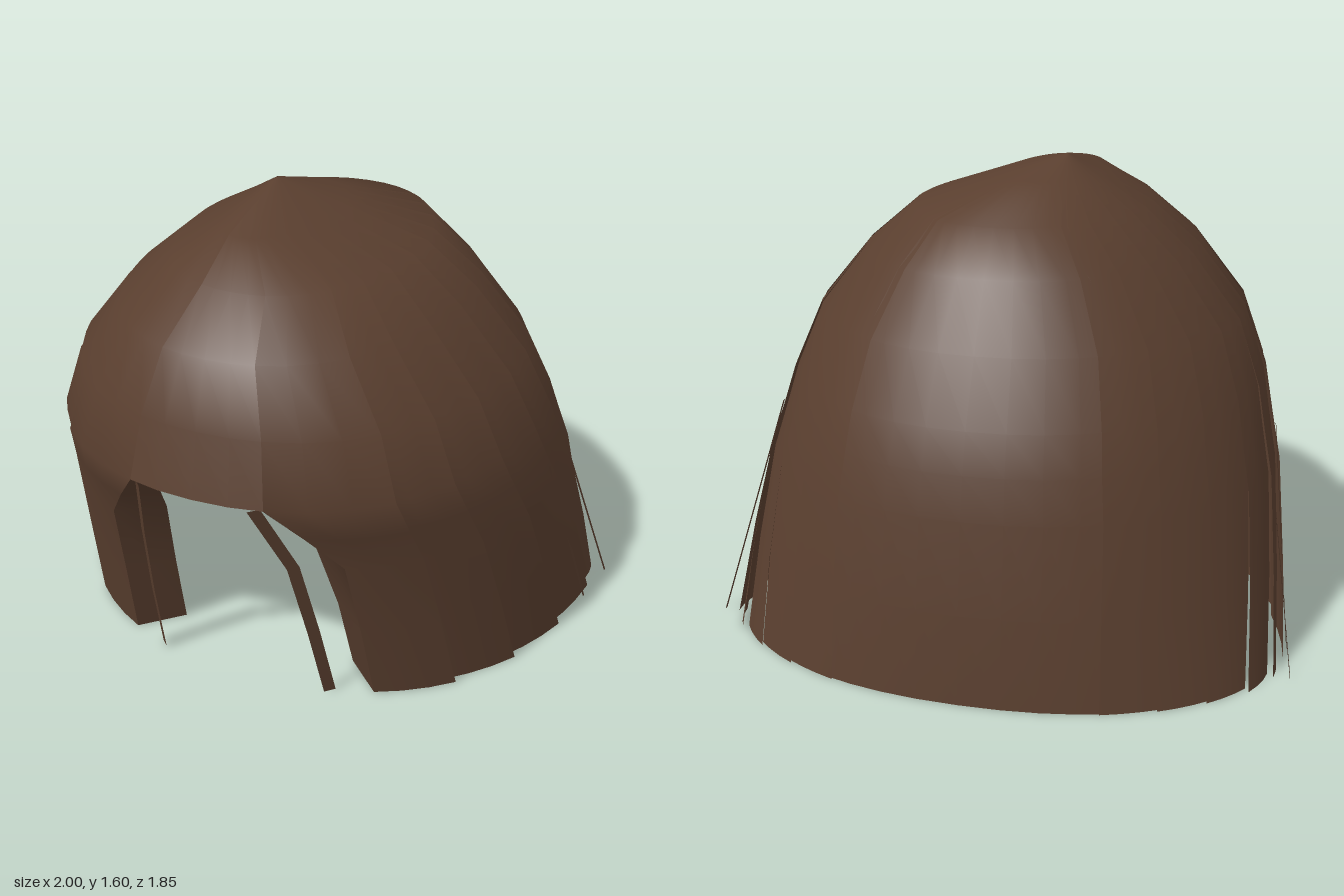
import * as THREE from 'three';

// Horizontal sections, crown to hem: y, half width, front z, back z, z of widest point, x shift
const RINGS = [
  [1.595, 0.002, 0.042, 0.038, 0.04, -0.12],
  [1.53, 0.17, 0.44, -0.17, 0.04, -0.06],
  [1.435, 0.4, 0.63, -0.47, 0.04, 0],
  [1.29, 0.57, 0.81, -0.57, 0.03, 0],
  [1.08, 0.74, 0.88, -0.69, 0.02, 0],
  [0.87, 0.82, 0.93, -0.79, -0.03, 0],
  [0.74, 0.85, 0.87, -0.83, -0.08, 0],
  [0.6, 0.885, 0.81, -0.86, -0.14, 0],
  [0.3, 0.92, 0.73, -0.9, -0.27, 0],
  [0, 0.945, 0.66, -0.92, -0.4, 0],
];
const FRINGE_ROWS = 6;          // the fringe stops above the face opening
const FRINGE = 0.24;            // half angle of the fringe
const OPENING = 0.43;           // half angle of the face opening lower down
const BACK = 2.6;               // angle at which the smooth back panel begins

// Front edge of the side hair: it arches out below the fringe
const frontEdge = (row) => (row < FRINGE_ROWS ? FRINGE : row === FRINGE_ROWS ? 0.34 : OPENING);

// Point on the shell: angle 0 is the front, positive towards +x; flare lifts it outwards
function shellPoint(row, angle, flare) {
  const [y, w, front, back, zc, cx] = RINGS[row];
  const down = (1.595 - y) / 1.595;
  const a = angle + 0.11 * down * Math.sin(angle);   // locks sweep back as they fall
  const s = Math.sin(a), c = Math.cos(a), f = 1 + flare * down;
  const x = Math.sign(s) * Math.pow(Math.abs(s), 0.92) * w;
  const z = c > 0 ? Math.pow(c, 0.95) * (front - zc) : -Math.pow(-c, 1.1) * (zc - back);
  return [cx + x * f, y, zc + z * f];
}

// Smooth sheet through a grid of points, rows running down and columns to the right
function sheet(rows, cols, point) {
  const pos = [], index = [];
  for (let i = 0; i < rows; i++) {
    for (let j = 0; j <= cols; j++) pos.push(...point(i, j / cols));
  }
  for (let i = 0; i < rows - 1; i++) {
    for (let j = 0; j < cols; j++) {
      const a = i * (cols + 1) + j, b = a + cols + 1;
      index.push(a, b, b + 1, a, b + 1, a + 1);
    }
  }
  const geo = new THREE.BufferGeometry();
  geo.setAttribute('position', new THREE.Float32BufferAttribute(pos, 3));
  geo.setIndex(index);
  geo.computeVertexNormals();
  return geo;
}

const mix = (a, b, t) => a + (b - a) * t;

export function createModel() {
  const group = new THREE.Group();
  group.name = 'hair';
  const brown = new THREE.MeshStandardMaterial({ color: 0x5a3f2f, side: THREE.DoubleSide });
  brown.name = 'brown hair';
  const add = (geo, name) => {
    const mesh = new THREE.Mesh(geo, brown);
    mesh.name = name;
    group.add(mesh);
  };

  // Fringe over the forehead and the broad panel at the back
  add(sheet(FRINGE_ROWS, 4, (i, t) => shellPoint(i, mix(-FRINGE, FRINGE, t), 0)), 'fringe');
  add(sheet(RINGS.length, 8, (i, t) =>
    shellPoint(i, mix(BACK - 0.02, 2 * Math.PI - BACK + 0.02, t), 0)), 'backPanel');

  // Inner edge of the fold beside the face and centre line of the loose strand, fringe to hem
  const fold = [[0.18, 0.87, 0.88], [0.22, 0.74, 0.74], [0.27, 0.6, 0.62], [0.31, 0.3, 0.51], [0.33, 0, 0.42]];
  const strand = [[0.2, 0.87, 0.91], [0.27, 0.6, 0.78], [0.3, 0.3, 0.69], [0.32, 0, 0.6]];
  const locks = 9, step = (BACK - OPENING) / locks;

  for (const side of [1, -1]) {
    const name = side > 0 ? 'left' : 'right';
    // Reverses the columns on the -x side so that faces keep pointing outwards
    const across = (t) => (side > 0 ? t : 1 - t);

    // Overlapping locks, each lifted at its rear edge and tucked under the one before
    for (let k = 0; k < locks; k++) {
      const end = OPENING + (k + 1.15) * step;
      const lift = k < 6 ? 0.022 : 0.008;
      add(sheet(RINGS.length, 3, (i, t) => {
        const start = k === 0 ? frontEdge(i) : OPENING + k * step;
        const u = across(t);
        return shellPoint(i, side * mix(start, end, u), mix(k === 0 ? 0 : -0.008, lift, u));
      }), name + 'Lock');
    }

    // Fold turning inwards beside the face
    add(sheet(fold.length, 2, (i, t) => {
      const row = FRINGE_ROWS - 1 + i;
      const outer = shellPoint(row, side * frontEdge(row), 0);
      const [x, y, z] = fold[i];
      const u = across(t);
      return [mix(side * x, outer[0], u), y, mix(z, outer[2], u)];
    }), name + 'Fold');

    // Thin strand hanging from the fringe
    add(sheet(strand.length, 1, (i, t) => {
      const [x, y, z] = strand[i];
      const d = (across(t) - 0.5) * 0.03;
      return [side * (x + d), y, z - d];
    }), name + 'Strand');

    // Fine wisps standing off the side
    for (const [z, reach] of [[-0.18, 1], [0.02, 0.97]]) {
      add(sheet(2, 1, (i, t) => [
        side * (i ? reach : 0.87), i ? 0 : 0.7, (i ? z - 0.3 : z) - 0.015 * across(t),
      ]), name + 'Wisp');
    }
  }
  return group;
}
